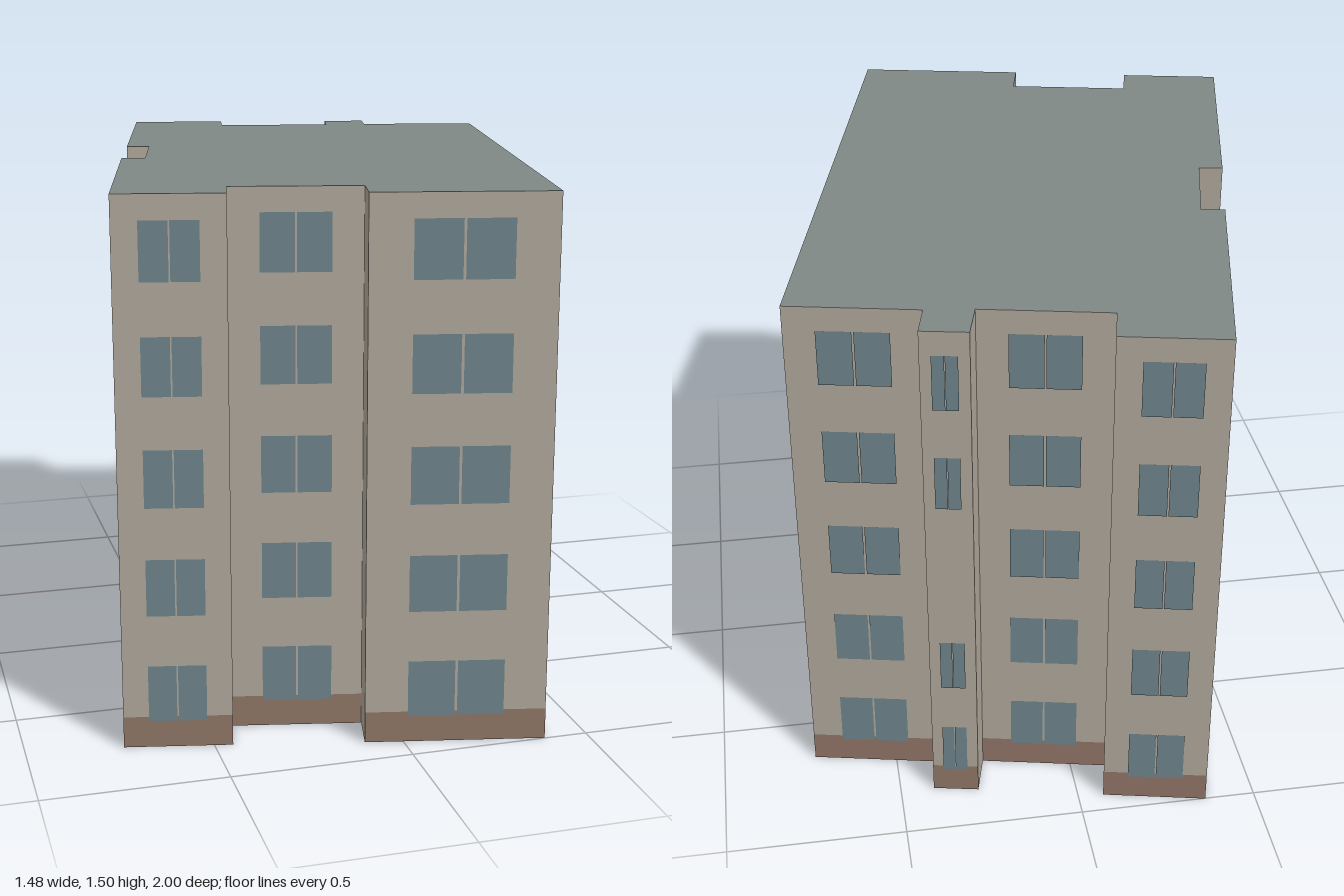
import * as THREE from 'three';

const HEIGHT = 1.5, FLOORS = 5, FLOOR_H = 0.3;
const SILL = 0.075, WINDOW_H = 0.158, BASE_H = 0.087;

const mat = (color, side = THREE.FrontSide) => new THREE.MeshStandardMaterial({ color, side });

// Window layouts as [start, end] fractions of the wall length
const PAIR = [[0.235, 0.493], [0.507, 0.765]];
const SIDE = [[0.14, 0.415], [0.588, 0.865]];
const LONG = [[0.115, 0.406], [0.588, 0.882]];

// Footprint corners, counter-clockwise from above: x, z, windows of the wall that starts there
const CORNERS = [
  [-0.738, 0.75, PAIR], [-0.45, 0.812, null],
  [-0.424, 0.694, PAIR], [-0.075, 0.77, null],
  [-0.102, 0.893, PAIR], [0.38, 0.997, LONG],
  [0.735, -0.65, PAIR], [0.381, -0.726, null],
  [0.405, -0.835, PAIR, 2], [0.279, -0.861, null],
  [0.25, -0.743, PAIR], [-0.098, -0.818, null],
  [-0.072, -0.938, PAIR], [-0.358, -1, SIDE],
  [-0.518, -0.264, null], [-0.452, -0.252, PAIR],
  [-0.515, 0.032, null], [-0.582, 0.018, SIDE],
];

export function createModel() {
  const building = new THREE.Group();
  building.name = 'apartmentBlock';
  const wallMat = mat(0xada699, THREE.DoubleSide);
  const roofMat = mat(0x7f8885, THREE.DoubleSide);
  const brickMat = mat(0x8f7466);
  const glassMat = mat(0x6d838a);

  // Flat panel on a wall, placed by its left edge and bottom
  const panel = (parent, name, material, x, y, w, h, lift) => {
    const mesh = new THREE.Mesh(new THREE.PlaneGeometry(w, h), material);
    mesh.name = name;
    mesh.position.set(x + w / 2, y + h / 2, lift);
    parent.add(mesh);
  };

  // Walls; the short return walls stay plain, and the base is open
  CORNERS.forEach(([x, z, windows, blankFloor], i) => {
    const [nx, nz] = CORNERS[(i + 1) % CORNERS.length];
    const length = Math.hypot(nx - x, nz - z);
    const wall = new THREE.Group();
    wall.name = windows ? 'facade' : 'returnWall';
    wall.position.set(x, 0, z);
    wall.rotation.y = Math.atan2(z - nz, nx - x);
    building.add(wall);
    panel(wall, 'wall', wallMat, 0, 0, length, HEIGHT, 0);
    if (!windows) return;

    // Brick base strip and rows of windows
    panel(wall, 'brickBase', brickMat, 0, 0, length, BASE_H, 0.0015);
    for (let f = 0; f < FLOORS; f++) {
      if (f === blankFloor) continue;
      for (const [a, b] of windows) {
        panel(wall, 'window', glassMat, a * length, SILL + f * FLOOR_H, (b - a) * length, WINDOW_H, 0.003);
      }
    }
  });

  // Flat roof over the footprint
  const outline = new THREE.Shape(CORNERS.map(([x, z]) => new THREE.Vector2(x, -z)));
  const roof = new THREE.Mesh(new THREE.ShapeGeometry(outline), roofMat);
  roof.name = 'roof';
  roof.rotation.x = -Math.PI / 2;
  roof.position.y = HEIGHT;
  building.add(roof);

  return building;
}
